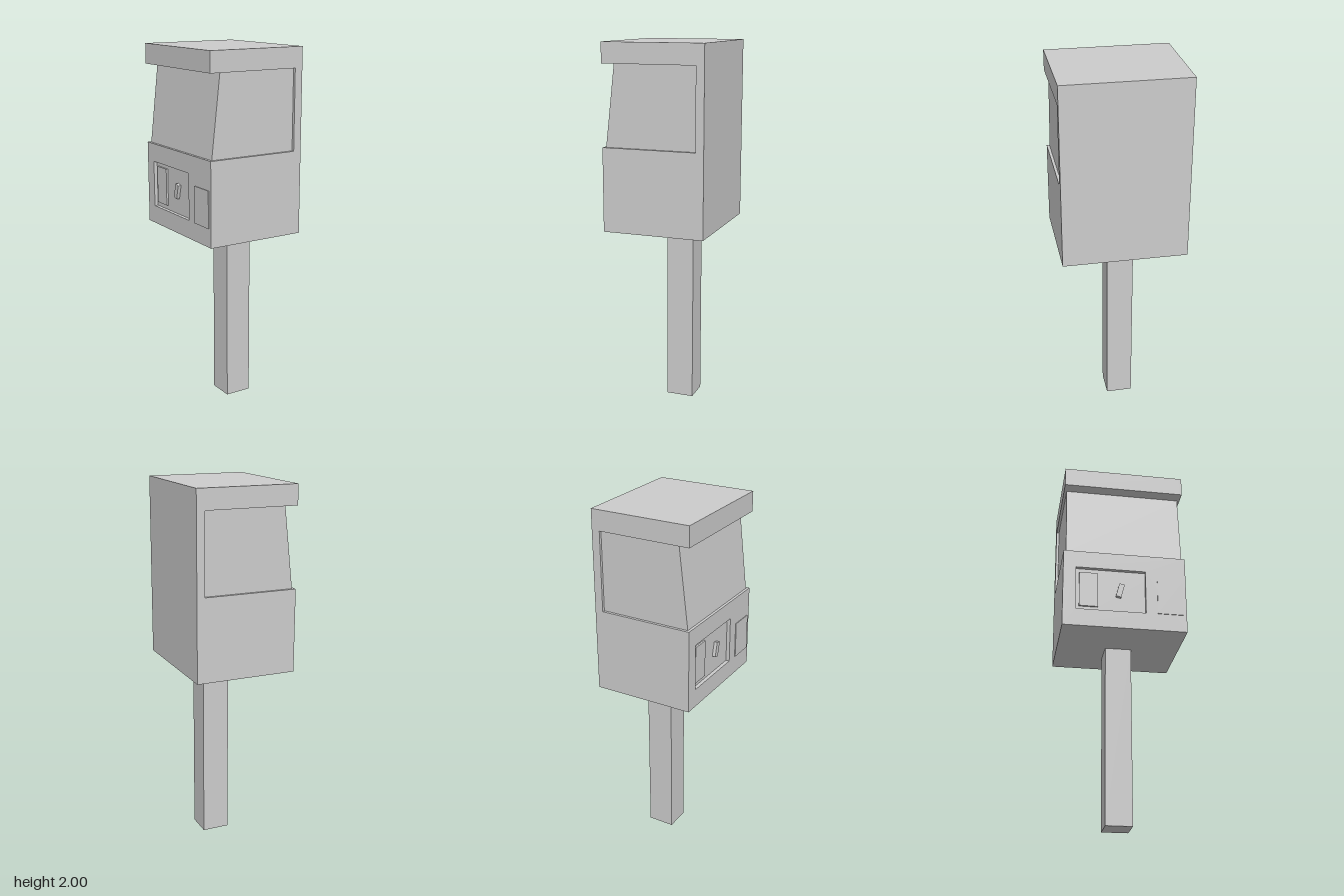
import * as THREE from 'three';

const material = new THREE.MeshStandardMaterial({ color: 0xcccccc, flatShading: true });

function add(parent, name, geometry, x = 0, y = 0, z = 0) {
  const mesh = new THREE.Mesh(geometry, material);
  mesh.name = name;
  mesh.position.set(x, y, z);
  parent.add(mesh);
  return mesh;
}

// Box given by its minimum and maximum corners
function addBox(parent, name, [x0, y0, z0], [x1, y1, z1]) {
  const geometry = new THREE.BoxGeometry(x1 - x0, y1 - y0, z1 - z0);
  return add(parent, name, geometry, (x0 + x1) / 2, (y0 + y1) / 2, (z0 + z1) / 2);
}

const polygon = (points) => new THREE.Shape(points.map(([x, y]) => new THREE.Vector2(x, y)));
const extrude = (shape, depth) => new THREE.ExtrudeGeometry(shape, { depth, bevelEnabled: false });

export function createModel() {
  const model = new THREE.Group();
  model.name = 'postMountedMeter';

  const left = -0.28, right = 0.28, half = 0.34;
  const bottom = 1, sill = 1.455, lintel = 1.89, top = 2;
  const inset = 0.015, plateX = -0.26;

  // Side outline of the housing, with the window notch cut from the face side
  const outline = (notch) => polygon([
    [plateX, bottom], [right, bottom], [right, top], [left, top],
    [left, lintel], ...notch, [plateX, sill],
  ]);

  // Core with the sloped window
  const slopedNotch = [[-0.215, lintel], [-0.265, sill]];
  add(model, 'housingCore', extrude(outline(slopedNotch), 2 * (half - inset)), 0, 0, inset - half);

  // Side panels framing the recessed side windows
  const squareNotch = [[0.235, lintel], [0.235, sill]];
  for (const [name, z] of [['frontSidePanel', half - inset], ['rearSidePanel', -half]]) {
    add(model, name, extrude(outline(squareNotch), inset), 0, 0, z);
  }

  // Lower face plate with the opening of the control recess
  const plate = polygon([[-half, bottom], [half, bottom], [half, sill], [-half, sill]]);
  plate.holes.push(polygon([[-0.27, 1.1], [-0.27, 1.355], [0.115, 1.355], [0.115, 1.1]]));
  add(model, 'facePlate', extrude(plate, plateX - left).rotateY(-Math.PI / 2), plateX);

  // Controls inside the recess and the thin label plate beside it
  addBox(model, 'controlPanel', [-0.27, 1.125, -0.25], [plateX, 1.33, -0.147]);
  const knob = addBox(model, 'knob', [-0.278, 1.19, -0.04], [plateX, 1.27, -0.01]);
  knob.rotation.x = 0.25;
  addBox(model, 'labelPlate', [-0.284, 1.1, 0.18], [left, 1.3, 0.32]);

  // Post
  addBox(model, 'post', [-0.015, 0, -0.07], [0.135, bottom, 0.075]);

  // The whole object leans back very slightly
  model.rotation.x = -0.005;
  model.position.z = 0.005;
  return model;
}
